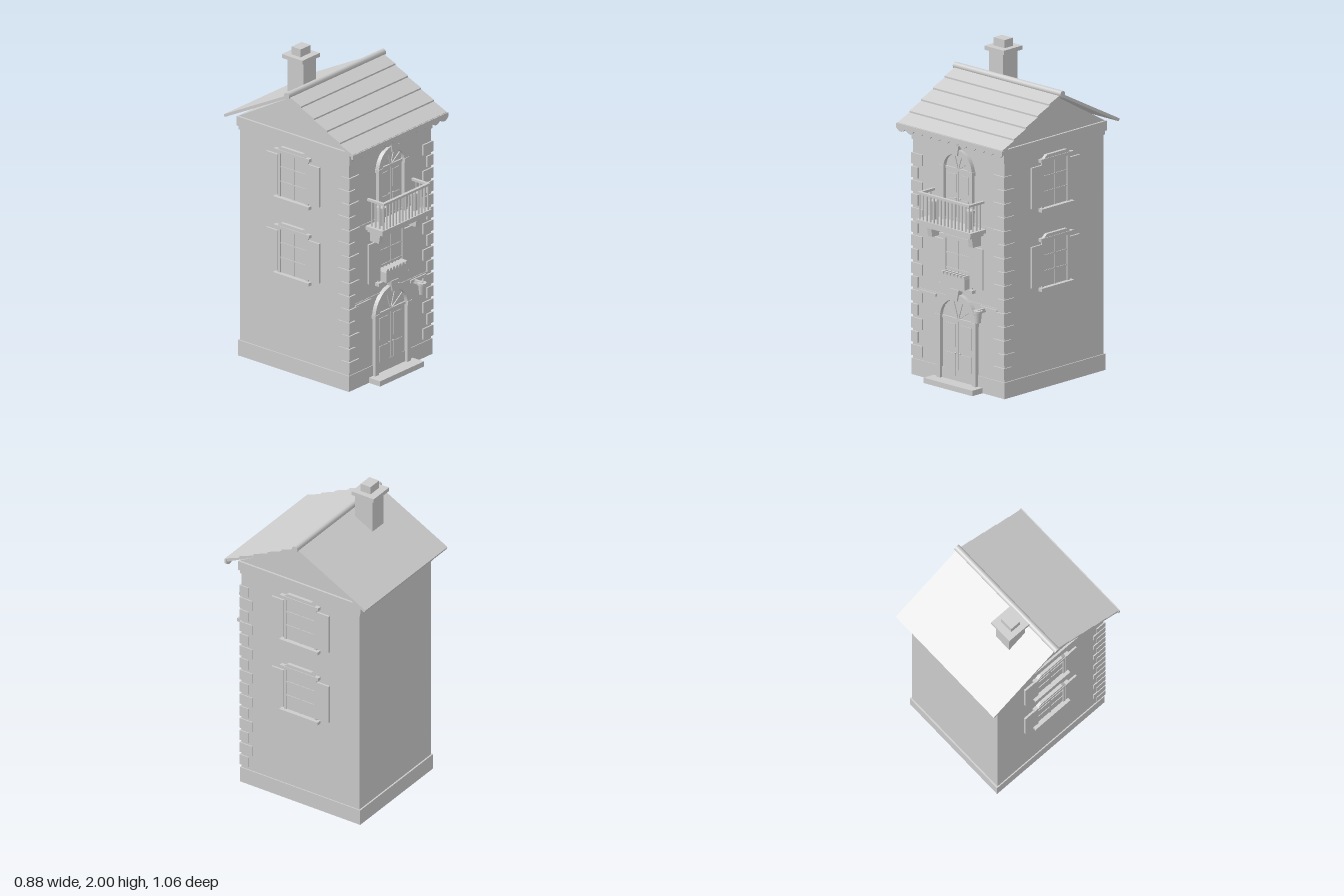
import * as THREE from 'three';

export function createModel() {
  const house = new THREE.Group();
  house.name = 'townHouse';
  const stone = new THREE.MeshStandardMaterial({ color: 0xcccccc });
  stone.name = 'pale grey stone';

  const add = (name, geo, parent = house) => {
    const m = new THREE.Mesh(geo, stone);
    m.name = name;
    parent.add(m);
    return m;
  };
  const group = (name, parent = house) => {
    const g = new THREE.Group();
    g.name = name;
    parent.add(g);
    return g;
  };
  // box given by its limits on each axis
  const box = (name, x0, x1, y0, y1, z0, z1, parent) =>
    add(name, new THREE.BoxGeometry(x1 - x0, y1 - y0, z1 - z0)
      .translate((x0 + x1) / 2, (y0 + y1) / 2, (z0 + z1) / 2), parent);
  const poly = pts => new THREE.Shape(pts.map(p => new THREE.Vector2(...p)));
  // outline in x,y pushed from z0 to z1
  const plate = (name, shape, z0, z1, parent) =>
    add(name, new THREE.ExtrudeGeometry(shape, { depth: z1 - z0, bevelEnabled: false, curveSegments: 14 })
      .translate(0, 0, z0), parent);
  // outline in z,y pushed along x, centred
  const beam = (name, pts, width, parent) =>
    add(name, new THREE.ExtrudeGeometry(poly(pts), { depth: width, bevelEnabled: false })
      .rotateY(-Math.PI / 2).translate(width / 2, 0, 0), parent);

  // walls, plinth, cornice and gables
  const W = 0.395; // front wall plane
  box('walls', -0.375, 0.375, 0, 1.46, -0.45, W);
  box('plinth', -0.382, 0.382, 0, 0.1, -0.46, 0.4);
  box('lowerCornice', -0.38, 0.38, 1.45, 1.475, -0.457, 0.402);
  box('upperCornice', -0.388, 0.388, 1.475, 1.535, -0.465, 0.41);
  beam('gable', [[0.405, 1.535], [-0.03, 1.778], [-0.46, 1.535]], 0.75);
  for (const y of [0.545, 1.03]) box('stringCourse', -0.376, 0.376, y - 0.006, y, W, W + 0.004);

  // corner stones, alternately long and short on each face
  const quoins = group('quoins');
  for (let i = 0; i < 15; i++) {
    const y = 0.12 + i * 0.0843, odd = i % 2;
    const side = odd ? 0.315 : 0.34, front = odd ? 0.055 : 0.09;
    for (const s of [-1, 1]) {
      const outer = s * 0.382, inner = s * (0.382 - front);
      box('quoinFront', Math.min(outer, inner), Math.max(outer, inner), y, y + 0.067, 0.385, 0.405, quoins);
      box('quoinSide', s * 0.376 - 0.006, s * 0.376 + 0.006, y, y + 0.067, side, 0.4, quoins);
    }
  }

  // roof: lapped courses in front, one plain slope behind
  const roof = group('roof');
  const slope = z => 1.797 - 0.505 * (z + 0.03);
  for (let i = 0; i < 5; i++) {
    const a = -0.03 + 0.1 * i, b = a + 0.1;
    beam('roofCourse', [[a, slope(a) - 0.014], [b, slope(b) - 0.014], [b, slope(b) + 0.01], [a, slope(a)]], 0.86, roof);
  }
  beam('backSlope', [[-0.03, 1.803], [-0.53, 1.543], [-0.523, 1.527], [-0.03, 1.783]], 0.86, roof);
  add('ridgeRoll', new THREE.CylinderGeometry(0.02, 0.02, 0.885, 16).rotateZ(Math.PI / 2)
    .translate(0, 1.8, -0.032), roof);

  // scalloped eaves board
  const trim = new THREE.Shape();
  trim.moveTo(-0.435, 1.552);
  trim.lineTo(-0.435, 1.525);
  const step = 0.87 / 12;
  for (let i = 0; i < 12; i++) {
    const x = -0.435 + i * step;
    trim.quadraticCurveTo(x + step / 2, 1.485, x + step, 1.525);
  }
  trim.lineTo(0.435, 1.552);
  plate('scallopedEaves', trim, 0.462, 0.476, roof);

  // chimney
  const chimney = group('chimney');
  box('chimneyStack', -0.22, -0.105, 1.66, 1.925, -0.215, -0.09, chimney);
  box('chimneyCap', -0.245, -0.085, 1.925, 1.95, -0.237, -0.077, chimney);
  box('chimneyPot', -0.21, -0.12, 1.95, 2.0, -0.19, -0.12, chimney);

  // shuttered window, facing +z, with the sill's underside at y = 0
  const makeWindow = name => {
    const g = group(name);
    box('glass', -0.1, 0.1, 0.02, 0.305, -0.005, 0.002, g);
    box('windowSill', -0.138, 0.138, 0, 0.02, -0.005, 0.03, g);
    box('lintel', -0.138, 0.138, 0.305, 0.325, -0.005, 0.024, g);
    plate('lintelCap', poly([[-0.11, 0.325], [0.11, 0.325], [0.085, 0.345], [-0.085, 0.345]]), -0.005, 0.02, g);
    box('mullion', -0.005, 0.005, 0.02, 0.305, 0, 0.006, g);
    for (const y of [0.115, 0.21]) box('glazingBar', -0.1, 0.1, y - 0.004, y + 0.004, 0, 0.006, g);
    for (const s of [-1, 1]) {
      box('jamb', s * 0.109 - 0.009, s * 0.109 + 0.009, 0.02, 0.305, -0.005, 0.01, g);
      box('shutter', s * 0.162 - 0.043, s * 0.162 + 0.043, 0.032, 0.285, -0.005, 0.012, g);
    }
    return g;
  };
  makeWindow('frontWindow').position.set(0, 0.602, W);
  for (const s of [-1, 1]) for (const y of [0.602, 1.09]) {
    const w = makeWindow(s > 0 ? 'leftWindow' : 'rightWindow');
    w.position.set(s * 0.375, y, -0.033);
    w.rotation.y = s * Math.PI / 2;
  }

  // flower box with a notched top
  const crest = [[-0.1, 0.622], [0.1, 0.622]];
  for (let i = 0; i < 7; i++) {
    const x = 0.1 - i * 0.2 / 7, d = 0.2 / 7;
    crest.push([x, 0.685], [x - d * 0.25, 0.705], [x - d * 0.75, 0.705]);
  }
  crest.push([-0.1, 0.685]);
  plate('flowerBox', poly(crest), 0.4, 0.45);

  // arched opening: half-width inside, half-width outside, foot, springing height
  const makeArch = (name, inner, outer, y0, ys) => {
    const g = group(name);
    const leaf = poly([[-inner, y0], [inner, y0], [inner, ys]]);
    leaf.absarc(0, ys, inner, 0, Math.PI, false);
    plate('doorPanel', leaf, W - 0.005, W + 0.002, g);
    const ring = new THREE.Shape();
    ring.absarc(0, ys, outer, 0, Math.PI, false);
    ring.absarc(0, ys, inner, Math.PI, 0, true);
    plate('archRing', ring, W - 0.005, 0.422, g);
    const top = ys + outer;
    plate('keystone', poly([[-0.02, top - 0.04], [0.02, top - 0.04], [0.034, top + 0.03], [-0.034, top + 0.03]]), W - 0.005, 0.432, g);
    for (const s of [-1, 1]) {
      const c = s * (inner + outer) / 2, h = (outer - inner) / 2;
      box('pilaster', c - h + 0.003, c + h - 0.003, y0, ys, W - 0.005, 0.418, g);
      box('capital', c - h - 0.003, c + h + 0.003, ys - 0.01, ys + 0.014, W - 0.005, 0.426, g);
      const p = s * inner / 2, q = inner * 0.32, mid = (y0 + ys) / 2;
      for (const [a, b] of [[y0 + 0.03, mid - 0.02], [mid + 0.02, ys - 0.03]])
        box('raisedPanel', p - q, p + q, a, b, W, W + 0.006, g);
      add('doorKnob', new THREE.SphereGeometry(0.006, 10, 8).translate(s * 0.018, mid - 0.015, W + 0.008), g);
    }
    box('meetingStile', -0.004, 0.004, y0, ys, W, W + 0.007, g);
    box('transom', -inner, inner, ys - 0.006, ys + 0.01, W, W + 0.012, g);
    for (let i = 1; i < 5; i++)
      add('fanlightBar', new THREE.BoxGeometry(inner, 0.006, 0.008).translate(inner / 2, 0, 0)
        .rotateZ(i * Math.PI / 5).translate(0, ys, W + 0.004), g);
  };
  makeArch('frontDoor', 0.128, 0.165, 0.03, 0.41);
  makeArch('balconyDoor', 0.1, 0.134, 1.01, 1.335);
  box('doorStep', -0.2, 0.2, 0, 0.033, 0.39, 0.487);

  // plain ledges and the hanging pot beside the door
  for (const s of [-1, 1]) box('wallLedge', s * 0.25 - 0.07, s * 0.25 + 0.07, 0.517, 0.535, W, 0.404);
  const pot = group('hangingPot');
  box('potBracket', 0.212, 0.226, 0.505, 0.53, W, 0.46, pot);
  add('potBody', new THREE.CylinderGeometry(0.024, 0.017, 0.065, 14).translate(0.218, 0.483, 0.457), pot);
  add('potRim', new THREE.CylinderGeometry(0.028, 0.028, 0.014, 14).translate(0.218, 0.518, 0.457), pot);

  // balcony with railing, brackets and planters
  const balcony = group('balcony');
  box('balconyFloor', -0.225, 0.225, 0.99, 1.013, 0.39, 0.528, balcony);
  box('balconyUnderside', -0.205, 0.205, 0.97, 0.99, 0.39, 0.51, balcony);
  box('frontRail', -0.212, 0.212, 1.17, 1.184, 0.506, 0.526, balcony);
  const baluster = (x, z) =>
    add('baluster', new THREE.CylinderGeometry(0.0055, 0.0055, 0.16, 8).translate(x, 1.092, z), balcony);
  for (let i = 0; i < 15; i++) baluster(-0.203 + i * 0.029, 0.516);
  for (const s of [-1, 1]) {
    box('sideRail', s * 0.203 - 0.009, s * 0.203 + 0.009, 1.17, 1.184, W, 0.51, balcony);
    for (const z of [0.425, 0.455, 0.486]) baluster(s * 0.203, z);
    const bracket = beam('bracket', [[0.39, 0.905], [0.465, 0.905], [0.475, 0.97], [0.39, 0.97]], 0.035, balcony);
    bracket.position.x = s * 0.167;
    add('planter', new THREE.CylinderGeometry(0.026, 0.018, 0.1, 14).translate(s * 0.15, 1.063, 0.456), balcony);
    add('planterRim', new THREE.CylinderGeometry(0.03, 0.03, 0.018, 14).translate(s * 0.15, 1.12, 0.456), balcony);
  }
  return house;
}
